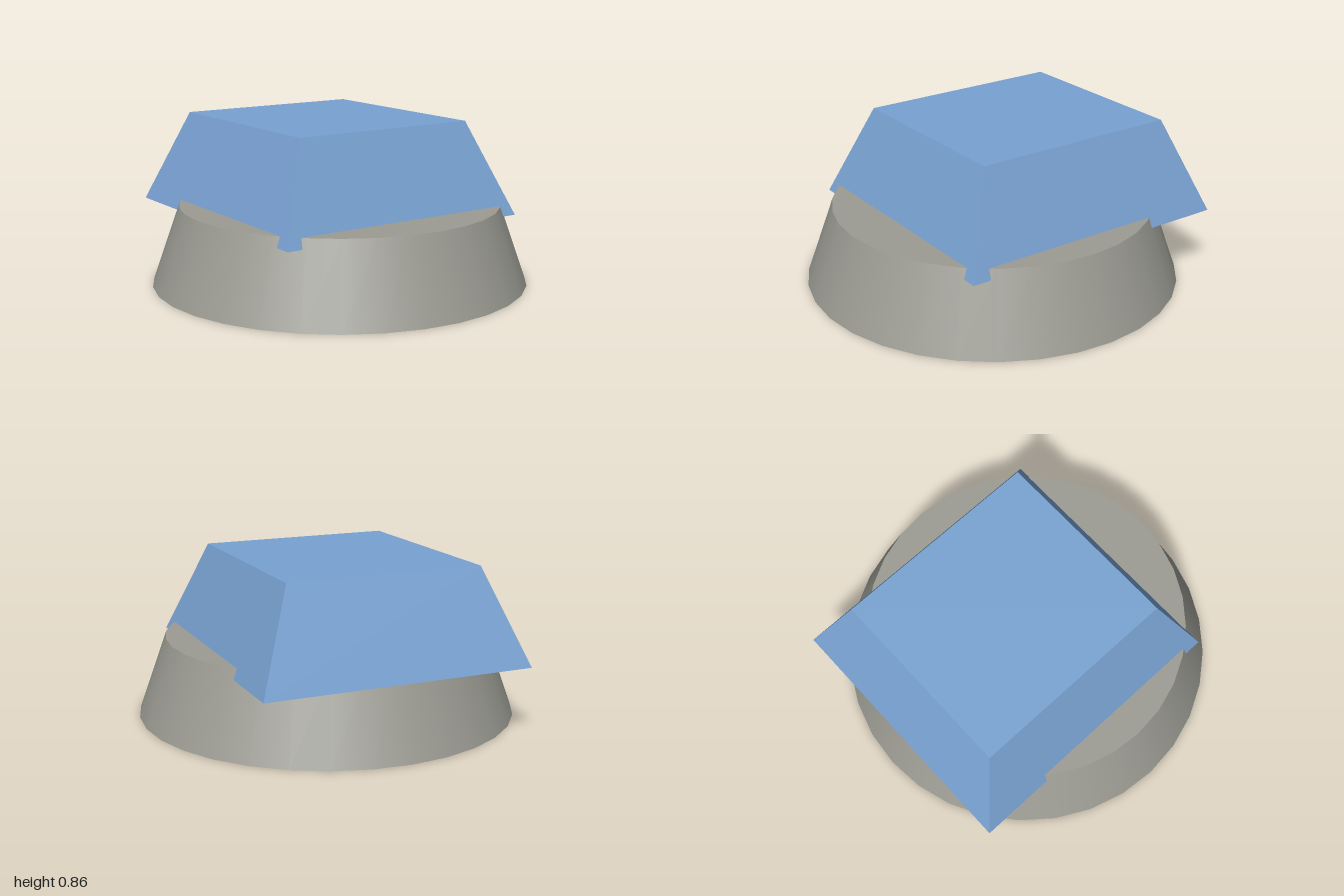
import * as THREE from 'three';

const stone = new THREE.MeshStandardMaterial({ color: 0x9c9c94 });
stone.name = 'warm grey';
const blue = new THREE.MeshStandardMaterial({ color: 0x79a3d3 });
blue.name = 'soft blue';

// Box whose top face is narrowed to the given size
function taperedBox(bottomX, bottomZ, topX, topZ, height) {
  const geometry = new THREE.BoxGeometry(bottomX, height, bottomZ);
  const p = geometry.attributes.position;
  for (let i = 0; i < p.count; i++) {
    if (p.getY(i) > 0) {
      p.setX(i, Math.sign(p.getX(i)) * topX / 2);
      p.setZ(i, Math.sign(p.getZ(i)) * topZ / 2);
    }
  }
  geometry.computeVertexNormals();
  return geometry;
}

export function createModel() {
  const model = new THREE.Group();
  model.name = 'model';

  // Round tapered base with a smooth side
  const baseHeight = 0.417;
  const base = new THREE.Mesh(new THREE.CylinderGeometry(0.852, 1, baseHeight, 32), stone);
  base.name = 'base';
  base.position.y = baseHeight / 2;
  model.add(base);

  // Tapered block sunk slightly into the base and set towards the back
  const blockBottom = 0.364, blockTop = 0.856;
  const block = new THREE.Mesh(
    taperedBox(1.41, 1.51, 1.026, 1.122, blockTop - blockBottom), blue);
  block.name = 'block';
  block.position.set(0, (blockBottom + blockTop) / 2, -0.15);
  model.add(block);

  return model;
}
